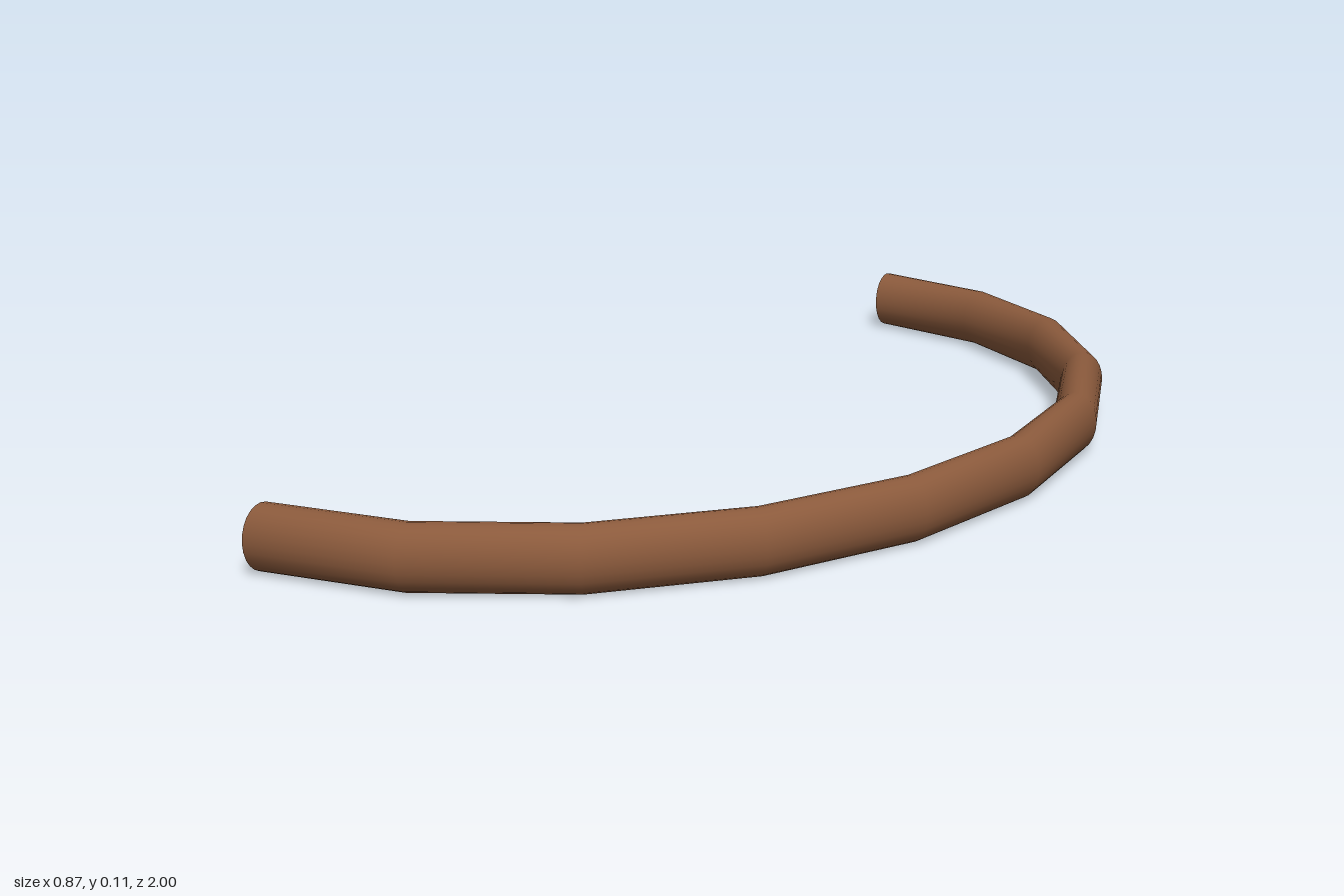
import * as THREE from 'three';

export function createModel() {
  const group = new THREE.Group();
  const ringRadius = 0.955, tubeRadius = 0.045;
  const halfWidth = 0.434, halfHeight = 0.056;

  // Half ring in ten straight lengths, open at both ends, bulging towards +x
  const geometry = new THREE.TorusGeometry(ringRadius, tubeRadius, 24, 10, Math.PI);
  geometry.rotateZ(-Math.PI / 2);
  geometry.rotateX(Math.PI / 2);

  // Shallower curve with a taller, oval section
  geometry.scale(2 * halfWidth, halfHeight / tubeRadius, 1);
  geometry.translate(-halfWidth, halfHeight, 0);

  const material = new THREE.MeshStandardMaterial({ color: 0x8b5a3c, side: THREE.DoubleSide });
  const tube = new THREE.Mesh(geometry, material);
  tube.name = 'curvedTube';
  group.add(tube);
  return group;
}
